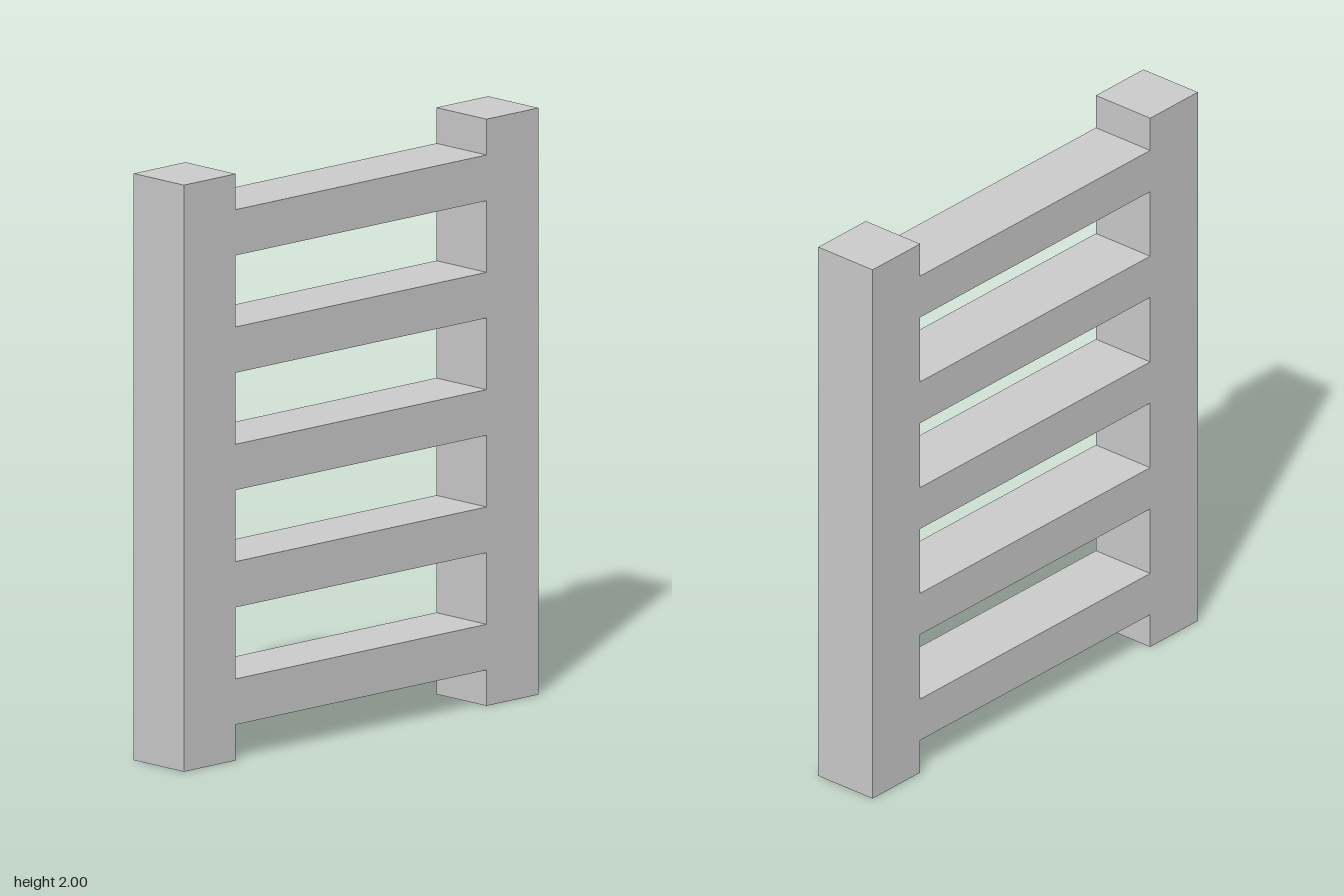
import * as THREE from 'three';

const OUTER = 0.82;    // half width over the rails
const INNER = 0.58;    // half width between the rails
const HEIGHT = 2;
const DEPTH = 0.24;
const RUNGS = 5;
const SPACING = 0.4;
const HALF_RUNG = 0.078;

const rungY = (i) => 0.2 + i * SPACING;

const polygon = (Type, points) => new Type(points.map(([x, y]) => new THREE.Vector2(x, y)));

export function createModel() {
  const model = new THREE.Group();
  model.name = 'ladder';

  // Rails and rungs share flush faces, so the frame is one outline,
  // notched at the foot and the top between the rails
  const foot = rungY(0) - HALF_RUNG;
  const top = rungY(RUNGS - 1) + HALF_RUNG;
  const outline = polygon(THREE.Shape, [
    [-OUTER, 0], [-INNER, 0], [-INNER, foot], [INNER, foot], [INNER, 0], [OUTER, 0],
    [OUTER, HEIGHT], [INNER, HEIGHT], [INNER, top], [-INNER, top], [-INNER, HEIGHT], [-OUTER, HEIGHT],
  ]);

  // Openings between neighbouring rungs
  for (let i = 0; i < RUNGS - 1; i++) {
    const low = rungY(i) + HALF_RUNG;
    const high = rungY(i + 1) - HALF_RUNG;
    outline.holes.push(polygon(THREE.Path, [
      [-INNER, low], [-INNER, high], [INNER, high], [INNER, low],
    ]));
  }

  const geometry = new THREE.ExtrudeGeometry(outline, { depth: DEPTH, bevelEnabled: false });
  geometry.translate(0, 0, -DEPTH / 2);

  const frame = new THREE.Mesh(
    geometry,
    new THREE.MeshStandardMaterial({ color: 0xcccccc, flatShading: true }),
  );
  frame.name = 'railsAndRungs';
  model.add(frame);
  return model;
}
